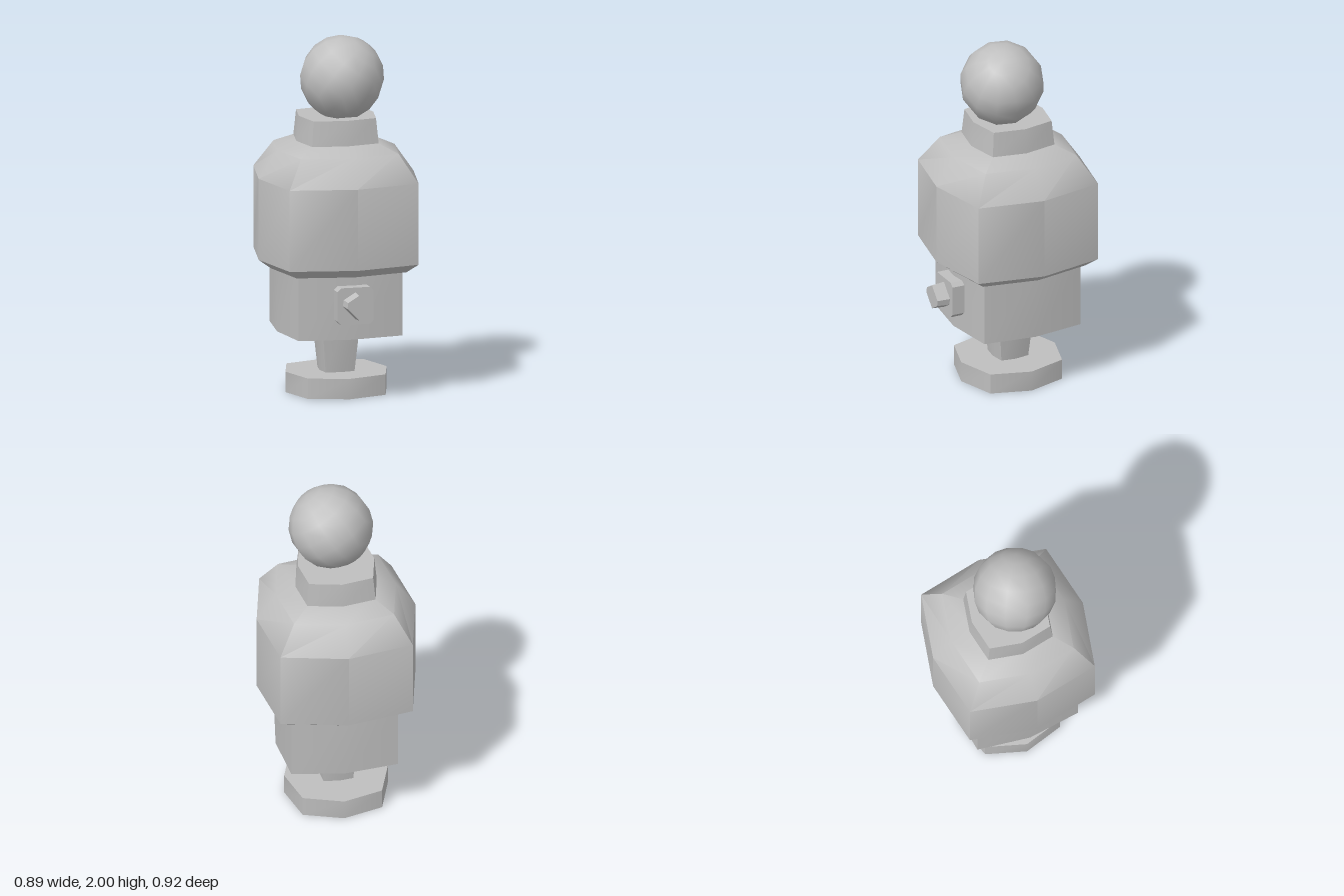
import * as THREE from 'three';
import { toCreasedNormals } from 'three/addons/utils/BufferGeometryUtils.js';

const AXIS_Z = -0.013; // shared vertical axis of the stacked parts
const grey = new THREE.MeshStandardMaterial({ color: 0xbfbfbf });
grey.name = 'light grey';

// Eight-point bulged square: mid = reach along the axes, corner = diagonal coordinate
function ring(y, mid, corner) {
  return [[mid, 0], [corner, corner], [0, mid], [-corner, corner],
    [-mid, 0], [-corner, -corner], [0, -mid], [corner, -corner]]
    .map(([x, z]) => [x, y, z]);
}

// Skins sections given as [y, mid, corner] from bottom to top and caps both ends
function loft(sections) {
  const rings = sections.map((s) => ring(...s));
  const pos = [];
  const tri = (...pts) => pts.forEach((p) => pos.push(...p));
  const last = rings.length - 1;
  for (let i = 0; i < 8; i++) {
    const j = (i + 1) % 8;
    for (let r = 0; r < last; r++) {
      const a = rings[r], b = rings[r + 1];
      tri(a[i], b[i], a[j]);
      tri(a[j], b[i], b[j]);
    }
    tri([0, sections[0][0], 0], rings[0][i], rings[0][j]);
    tri([0, sections[last][0], 0], rings[last][j], rings[last][i]);
  }
  const geo = new THREE.BufferGeometry();
  geo.setAttribute('position', new THREE.Float32BufferAttribute(pos, 3));
  return toCreasedNormals(geo, 0.6);
}

export function createModel() {
  const model = new THREE.Group();
  model.name = 'ballHeadedFigure';
  const add = (name, geo, x = 0, y = 0, z = 0) => {
    const mesh = new THREE.Mesh(geo, grey);
    mesh.name = name;
    mesh.position.set(x, y, z);
    model.add(mesh);
    return mesh;
  };

  // Stacked body parts
  const parts = {
    foot: [[0, 0.29, 0.222], [0.115, 0.29, 0.222]],
    stem: [[0.115, 0.095, 0.083], [0.345, 0.118, 0.104]],
    lowerBlock: [[0.345, 0.338, 0.298], [0.71, 0.338, 0.298]],
    torso: [[0.703, 0.375, 0.315], [0.753, 0.444, 0.37], [1.21, 0.444, 0.37],
      [1.365, 0.335, 0.28], [1.42, 0.21, 0.176]],
    neck: [[1.41, 0.228, 0.191], [1.553, 0.214, 0.179]],
  };
  for (const [name, sections] of Object.entries(parts)) add(name, loft(sections), 0, 0, AXIS_Z);

  // Ball head, leaning slightly forward and to the left
  const head = add('head', new THREE.SphereGeometry(0.235, 12, 9), 0.021, 1.767, 0.035);
  head.rotation.set(0.5, 0.3, -0.6);

  // Front plate with chamfered corners
  const h = 0.104, c = 0.083;
  const plate = new THREE.Shape([[h, -c], [h, c], [c, h], [-c, h], [-h, c], [-h, -c], [-c, -h], [c, -h]]
    .map(([x, y]) => new THREE.Vector2(x, y)));
  add('frontPlate', new THREE.ExtrudeGeometry(plate, { depth: 0.1, bevelEnabled: false }), 0, 0.546, 0.284);

  // Six-sided knob, narrowing towards its tip
  const hex = new THREE.Shape([[0, 0.076], [-0.068, 0.035], [-0.073, 0], [0, -0.076], [0.068, -0.035], [0.073, 0]]
    .map(([x, y]) => new THREE.Vector2(x, y)));
  hex.curves.length && hex.closePath();
  const knob = new THREE.ExtrudeGeometry(hex, { depth: 0.076, bevelEnabled: false });
  const p = knob.attributes.position;
  for (let i = 0; i < p.count; i++) {
    if (p.getZ(i) > 0.05) p.setXY(i, p.getX(i) * 0.92, p.getY(i) * 0.92);
  }
  knob.computeVertexNormals();
  add('knob', knob, 0, 0.548, 0.382);

  return model;
}
